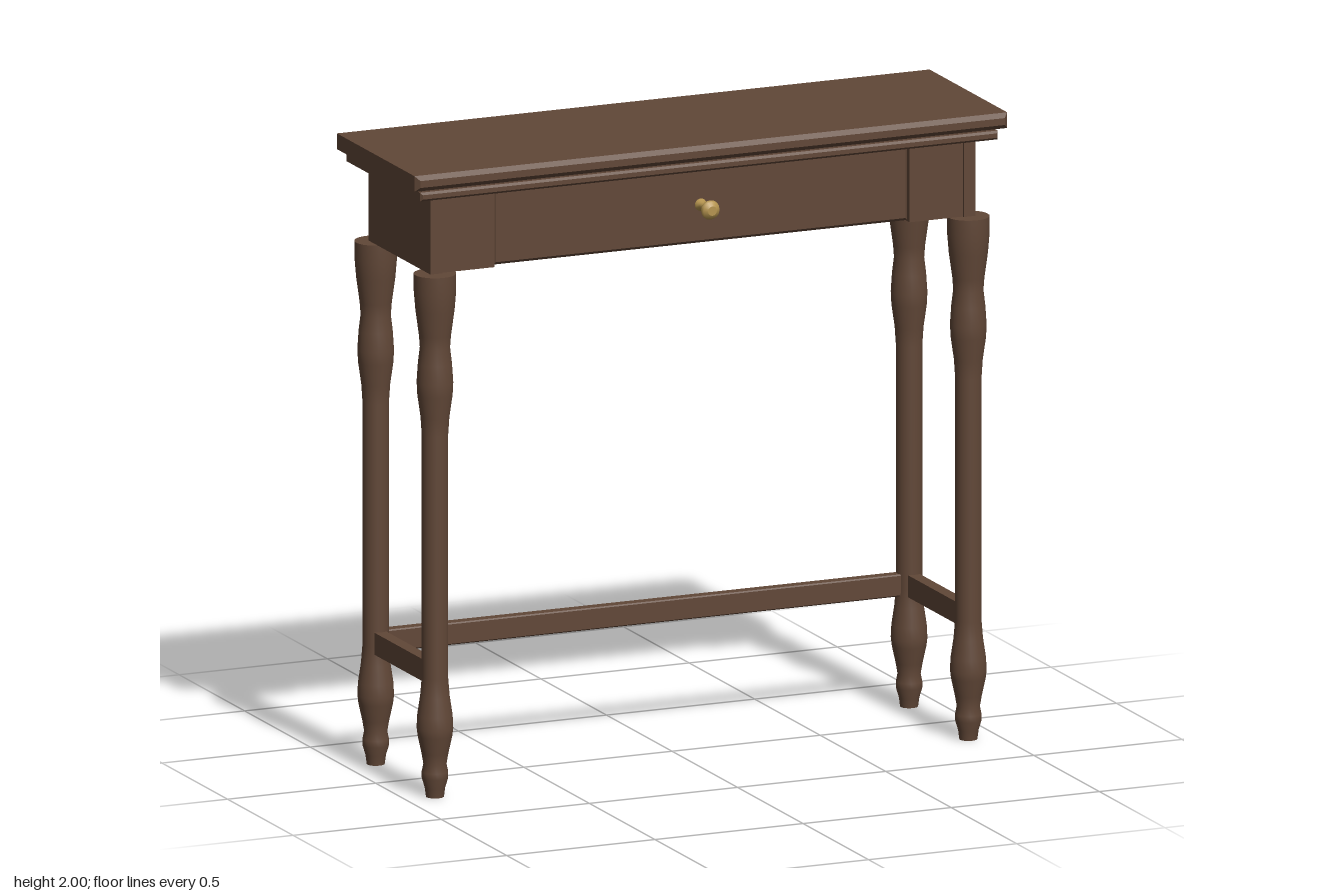
import * as THREE from 'three';

const wood = new THREE.MeshStandardMaterial({ color: 0x614737 });
wood.name = 'walnut brown';
const brass = new THREE.MeshStandardMaterial({ color: 0xb5944f });
brass.name = 'aged brass';

// Box between two corners with an optional chamfer on every edge
function board(name, [x0, y0, z0], [x1, y1, z1], bevel = 0) {
  const w = x1 - x0, h = y1 - y0, d = z1 - z0;
  let geo;
  if (bevel) {
    const a = w / 2 - bevel, b = h / 2 - bevel;
    const shape = new THREE.Shape([[-a, -b], [a, -b], [a, b], [-a, b]].map(([x, y]) => new THREE.Vector2(x, y)));
    geo = new THREE.ExtrudeGeometry(shape, {
      depth: d - 2 * bevel, bevelEnabled: true, bevelSize: bevel, bevelThickness: bevel, bevelSegments: 1,
    });
    geo.center();
  } else {
    geo = new THREE.BoxGeometry(w, h, d);
  }
  const mesh = new THREE.Mesh(geo, wood);
  mesh.name = name;
  mesh.position.set((x0 + x1) / 2, (y0 + y1) / 2, (z0 + z1) / 2);
  return mesh;
}

// Turned part from [radius, height] pairs, closed by flat end caps
function turned(name, profile, sides, material) {
  const group = new THREE.Group();
  group.name = name;
  const points = profile.map(([r, y]) => new THREE.Vector2(r, y));
  group.add(new THREE.Mesh(new THREE.LatheGeometry(points, sides), material));
  for (const [end, turn] of [[profile[0], Math.PI / 2], [profile[profile.length - 1], -Math.PI / 2]]) {
    const cap = new THREE.Mesh(new THREE.CircleGeometry(end[0], sides), material);
    cap.rotation.x = turn;
    cap.position.y = end[1];
    group.add(cap);
  }
  group.children.forEach((m, i) => { m.name = name + (i ? 'End' : 'Body'); });
  return group;
}

export function createModel() {
  const table = new THREE.Group();
  table.name = 'consoleTable';

  // Top slab, shadow gap and moulding
  table.add(
    board('tableTop', [-1, 1.95, -0.31], [1, 2, 0.31], 0.014),
    board('shadowGap', [-0.965, 1.935, -0.275], [0.965, 1.955, 0.275]),
    board('moulding', [-0.975, 1.913, -0.288], [0.975, 1.941, 0.288], 0.007),
  );

  // Open apron box
  table.add(board('backApron', [-0.88, 1.665, -0.228], [0.88, 1.92, -0.195]));
  for (const s of [-1, 1]) {
    const side = s < 0 ? 'right' : 'left';
    const span = (a, b) => (s < 0 ? [-b, -a] : [a, b]);
    const [a0, a1] = span(0.88, 0.92);
    table.add(board(side + 'Apron', [a0, 1.665, -0.235], [a1, 1.92, 0.237]));
    const [f0, f1] = span(0.7, 0.88);
    table.add(board(side + 'FrontPanel', [f0, 1.665, 0.195], [f1, 1.92, 0.23]));
  }

  // Drawer front with its chamfered border
  table.add(board('drawerFront', [-0.7, 1.668, 0.185], [0.7, 1.913, 0.219], 0.009));

  // Drawer knob
  const knob = turned('drawerKnob', [
    [0.02, 0], [0.018, 0.01], [0.012, 0.018], [0.012, 0.045], [0.018, 0.056],
    [0.028, 0.066], [0.031, 0.075], [0.027, 0.084], [0.015, 0.091],
  ], 16, brass);
  knob.rotation.x = Math.PI / 2;
  knob.position.set(0, 1.79, 0.218);
  table.add(knob);

  // Four turned legs
  const legProfile = [
    [0.028, 0], [0.032, 0.03], [0.041, 0.06], [0.041, 0.08], [0.036, 0.105], [0.042, 0.14],
    [0.054, 0.195], [0.057, 0.22], [0.055, 0.26], [0.046, 0.32], [0.041, 0.38],
    [0.041, 1.15], [0.045, 1.21], [0.055, 1.28], [0.057, 1.32], [0.053, 1.38],
    [0.047, 1.43], [0.05, 1.47], [0.061, 1.55], [0.066, 1.61], [0.066, 1.665],
  ];
  for (const x of [-0.9, 0.9]) {
    for (const z of [-0.226, 0.226]) {
      const leg = turned(z > 0 ? 'frontLeg' : 'backLeg', legProfile, 24, wood);
      leg.position.set(x, 0, z);
      table.add(leg);
    }
  }

  // Stretchers: one along the back, one on each side
  table.add(board('backStretcher', [-0.89, 0.357, -0.246], [0.89, 0.427, -0.206], 0.004));
  for (const x of [-0.9, 0.9]) {
    table.add(board('sideStretcher', [x - 0.02, 0.357, -0.22], [x + 0.02, 0.427, 0.22], 0.004));
  }
  return table;
}
